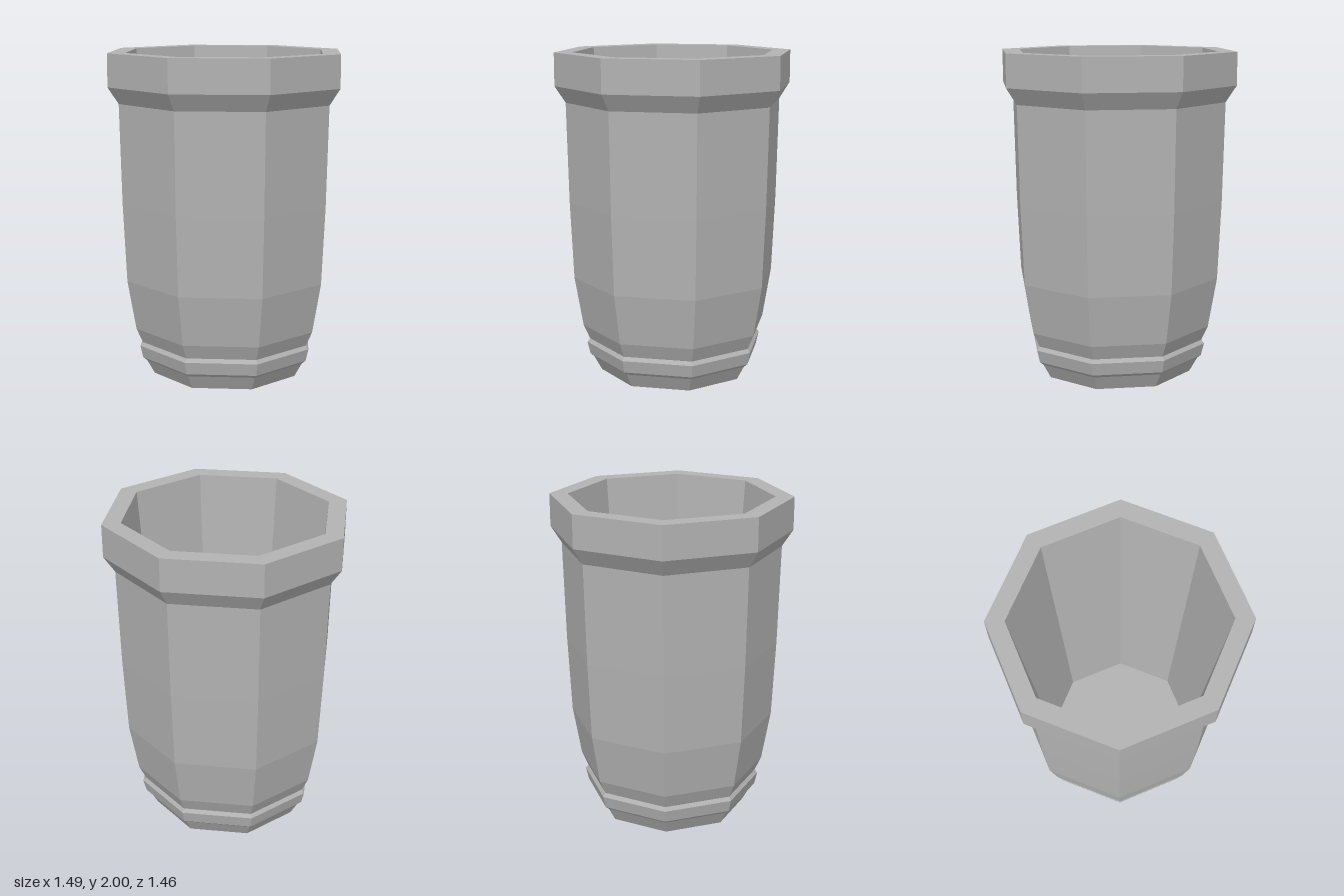
import * as THREE from 'three';

const SIDES = 8;

export function createModel() {
  const model = new THREE.Group();
  model.name = 'octagonalCup';
  const grey = new THREE.MeshStandardMaterial({ color: 0xb2b2b2 });
  grey.name = 'stoneGrey';

  // Faceted ring from a [radius, height] profile, corners on the x and z axes
  const addPart = (name, profile) => {
    const points = profile.map(([r, y]) => new THREE.Vector2(r, y));
    const geometry = new THREE.LatheGeometry(points, SIDES).toNonIndexed();
    geometry.scale(1, 1, 0.983);
    geometry.computeVertexNormals();
    const mesh = new THREE.Mesh(geometry, grey);
    mesh.name = name;
    model.add(mesh);
  };

  // Closed underside and tapered foot
  addPart('foot', [[0, 0], [0.475, 0], [0.525, 0.09]]);
  // Raised band above the foot
  addPart('baseBand', [[0.525, 0.09], [0.549, 0.11], [0.567, 0.187], [0.55, 0.21]]);
  // Swelling outer wall
  addPart('body', [[0.55, 0.21], [0.59, 0.3], [0.643, 0.61], [0.664, 1.09], [0.677, 1.7]]);
  // Flared collar and flat lip
  addPart('rim', [[0.677, 1.7], [0.743, 1.8], [0.743, 2], [0.63, 2]]);
  // Tapered hollow and its floor
  addPart('interior', [[0.63, 2], [0.477, 0.11], [0, 0.11]]);

  return model;
}
